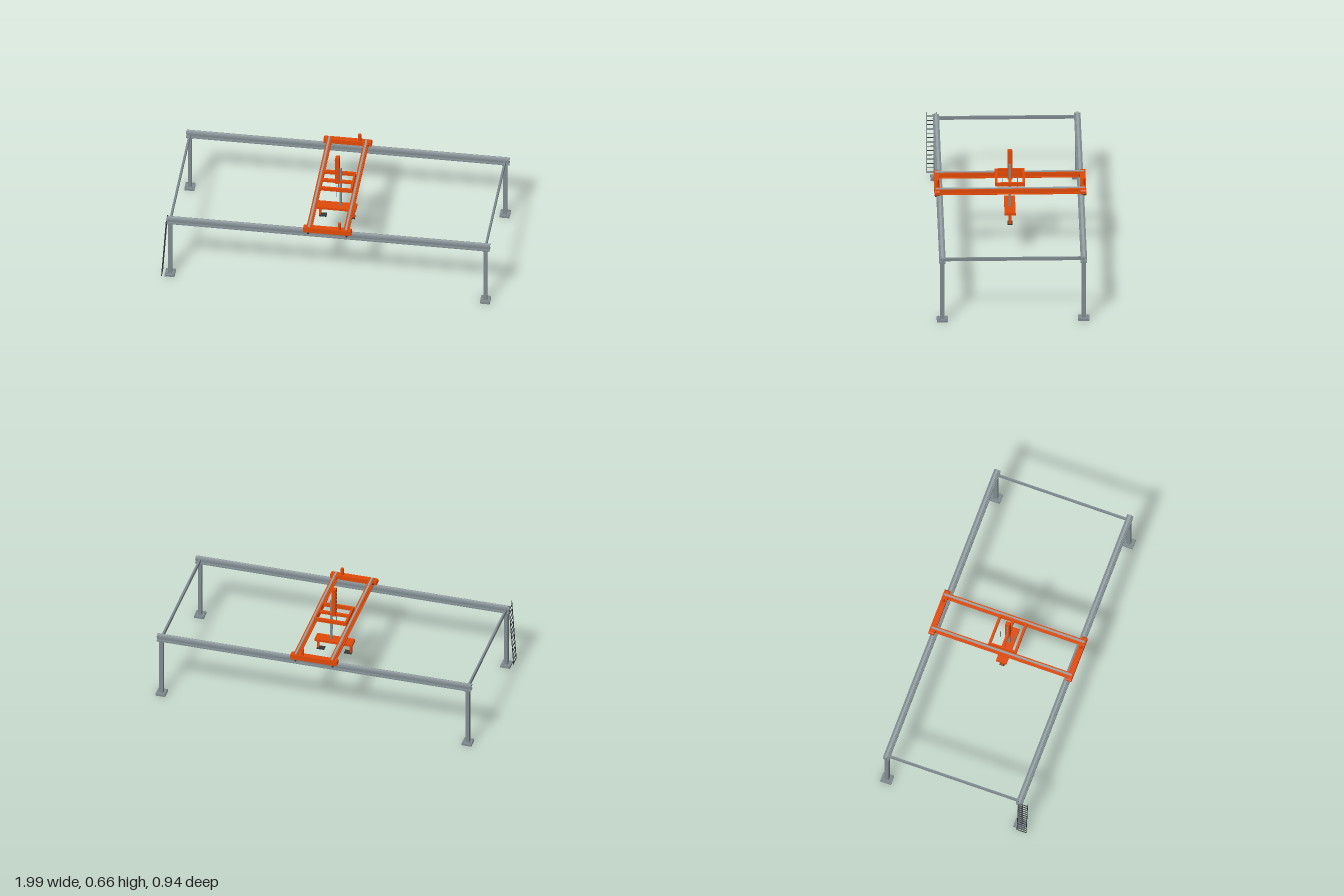
import * as THREE from 'three';

const mat = (name, color) => Object.assign(new THREE.MeshStandardMaterial({ color }), { name });

export function createModel() {
  const steel = mat('steel grey', 0x7f8b8f);
  const railSteel = mat('rail steel', 0x98a3a7);
  const orange = mat('machine orange', 0xe24a08);
  const dark = mat('dark rubber', 0x33383b);
  const model = new THREE.Group();
  model.name = 'gantryCrane';

  const add = (name, geo, m, x = 0, y = 0, z = 0, parent = model) => {
    const mesh = new THREE.Mesh(geo, m);
    mesh.name = name;
    mesh.position.set(x, y, z);
    parent.add(mesh);
    return mesh;
  };
  // box given by its min and max on each axis
  const block = (name, m, [x0, x1], [y0, y1], [z0, z1], parent = model) =>
    add(name, new THREE.BoxGeometry(x1 - x0, y1 - y0, z1 - z0), m,
      (x0 + x1) / 2, (y0 + y1) / 2, (z0 + z1) / 2, parent);
  // I-section with horizontal flanges, centred, running along z
  const iBeam = (w, h, flange, web, length) => {
    const a = w / 2, b = h / 2, c = b - flange, d = web / 2;
    const s = new THREE.Shape([[-a, -b], [a, -b], [a, -c], [d, -c], [d, c], [a, c],
      [a, b], [-a, b], [-a, c], [-d, c], [-d, -c], [-a, -c]].map(p => new THREE.Vector2(...p)));
    return new THREE.ExtrudeGeometry(s, { depth: length, bevelEnabled: false }).translate(0, 0, -length / 2);
  };
  const rod = (r, len, n = 10) => new THREE.CylinderGeometry(r, r, len, n);

  const midZ = -0.011, railZ = [0.415, -0.437], columnX = [-0.951, 0.966];

  // Runway beams with the crane rail on top
  for (const z of railZ) {
    add('runwayBeam', iBeam(0.038, 0.034, 0.006, 0.01, 1.966).rotateY(Math.PI / 2), steel, 0.01, 0.407, z);
    block('runwayRail', railSteel, [-0.973, 0.993], [0.424, 0.431], [z - 0.007, z + 0.007]);
  }

  // Columns: box shaft, cap plate, base plate and anchor bolts
  for (const x of columnX) {
    for (const z of railZ) {
      const column = new THREE.Group();
      column.name = 'column';
      column.position.set(x, 0, z);
      model.add(column);
      block('columnShaft', steel, [-0.0115, 0.0115], [0.012, 0.385], [-0.0135, 0.0135], column);
      block('columnCap', steel, [-0.016, 0.016], [0.385, 0.39], [-0.019, 0.019], column);
      block('basePlate', steel, [-0.03, 0.03], [0, 0.013], [-0.034, 0.034], column);
      for (const bx of [-0.022, 0.022])
        for (const bz of [-0.022, 0.022]) add('anchorBolt', rod(0.003, 0.005, 6), steel, bx, 0.0155, bz, column);
    }
    block('endTie', steel, [x - 0.006, x + 0.006], [0.398, 0.418], [railZ[1], railZ[0]]);
  }

  // Bridge: two girders with trolley rails
  const bridge = new THREE.Group();
  bridge.name = 'bridge';
  model.add(bridge);
  for (const x of [-0.105, 0.12]) {
    add('bridgeGirder', iBeam(0.03, 0.035, 0.005, 0.008, 0.9), orange, x, 0.4445, midZ, bridge);
    block('trolleyRail', railSteel, [x - 0.006, x + 0.006], [0.462, 0.467], [-0.46, 0.438], bridge);
  }

  // End trucks with wheels, guide rollers and drive motors
  const truckShape = new THREE.Shape([[-0.136, 0.427], [0.146, 0.427], [0.154, 0.435], [0.154, 0.454],
    [0.148, 0.46], [-0.134, 0.46], [-0.14, 0.454], [-0.14, 0.435]].map(p => new THREE.Vector2(...p)));
  const truckGeo = new THREE.ExtrudeGeometry(truckShape, { depth: 0.035, bevelEnabled: false }).translate(0, 0, -0.0175);
  railZ.forEach((rz, i) => {
    const side = i === 0 ? 1 : -1;
    const z = rz + side * 0.014;
    add('endTruck', truckGeo, orange, 0, 0, z, bridge);
    for (const x of [-0.11, 0.123]) {
      add('truckWheel', rod(0.012, 0.014, 16).rotateX(Math.PI / 2), dark, x, 0.434, rz, bridge);
      add('guideRoller', rod(0.006, 0.014, 12), dark, x, 0.42, rz + side * 0.0225, bridge);
    }
    add('driveMotor', rod(0.01, 0.047, 16), orange, 0.08, 0.4815, z, bridge);
  });

  // Trolley: open frame with a narrow bar that carries the mast
  const trolley = new THREE.Group();
  trolley.name = 'trolley';
  model.add(trolley);
  const tx = [-0.095, 0.107], ty = [0.468, 0.491];
  for (const z of [[-0.101, -0.086], [0.064, 0.079]]) block('trolleyCrossBar', orange, tx, ty, z, trolley);
  for (const x of [-0.095, 0.095]) block('trolleySideBar', orange, [x, x + 0.012], ty, [-0.09, 0.068], trolley);
  block('mastBar', orange, [-0.09, 0.1], [0.472, 0.488], [-0.02, -0.001], trolley);
  for (const z of [-0.057, 0.035]) add('guidePin', rod(0.0028, 0.085, 8), steel, 0.005, 0.438, z, trolley);

  // Mast, rack teeth and lifting rod
  block('mast', orange, [-0.006, 0.018], [0.47, 0.664], [-0.025, 0.004], trolley);
  for (let i = 0; i < 6; i++) block('rackTooth', steel, [-0.01, -0.006], [0.5 + i * 0.027, 0.506 + i * 0.027], [-0.015, -0.006], trolley);
  block('liftRod', steel, [0.018, 0.031], [0.29, 0.576], [-0.018, -0.003], trolley);

  // Gripper: crossbar, arms and inward feet
  const gripper = new THREE.Group();
  gripper.name = 'gripper';
  model.add(gripper);
  block('gripperBar', orange, [-0.115, 0.122], [0.281, 0.296], [-0.044, 0.023], gripper);
  for (const s of [-1, 1]) {
    const span = (a, b) => [0.004 + s * a, 0.004 + s * b].sort((p, q) => p - q);
    block('gripperArm', orange, span(0.096, 0.109), [0.218, 0.281], [-0.018, -0.001], gripper);
    block('gripperFoot', dark, span(0.063, 0.109), [0.212, 0.22], [-0.025, 0.005], gripper);
  }

  // Leaning ladder at the front right column
  const ladder = new THREE.Group();
  ladder.name = 'ladder';
  model.add(ladder);
  const lean = y => -0.997 + (y - 0.018) * 0.068;
  for (const z of [0.411, 0.47]) {
    const stile = add('ladderStile', new THREE.BoxGeometry(0.004, 0.421, 0.003), dark, lean(0.228), 0.228, z, ladder);
    stile.rotation.z = -Math.atan(0.068);
  }
  for (let i = 0; i < 14; i++) {
    const y = 0.022 + i * 0.03;
    block('ladderRung', dark, [lean(y) - 0.002, lean(y) + 0.002], [y - 0.002, y + 0.002], [0.411, 0.47], ladder);
  }
  return model;
}
